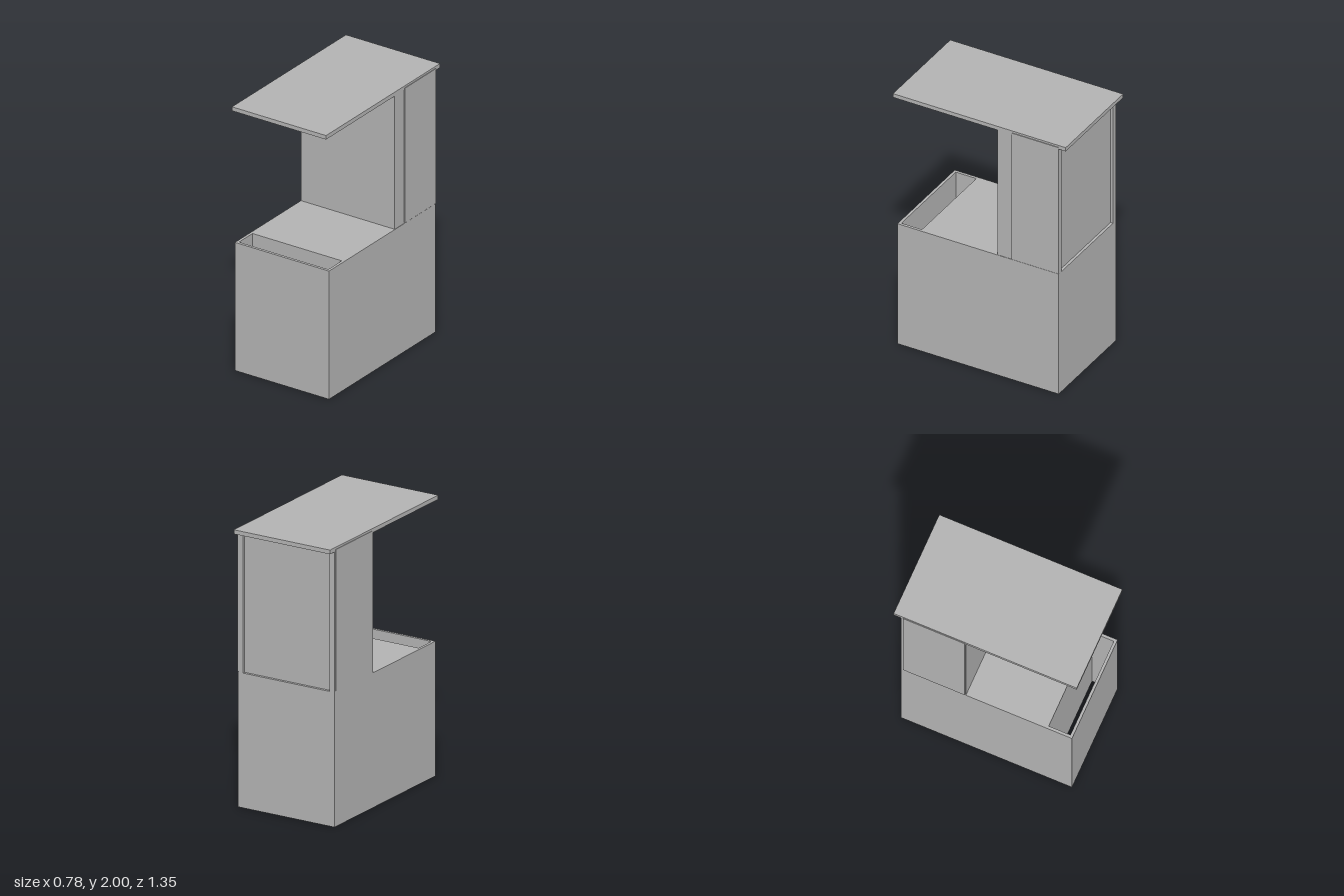
import * as THREE from 'three';

const grey = new THREE.MeshStandardMaterial({ color: 0xb2b2b2 });
grey.name = 'plain grey';

// Axis-aligned board given by its [min, max] extents
function board(name, [x0, x1], [y0, y1], [z0, z1]) {
  const mesh = new THREE.Mesh(new THREE.BoxGeometry(x1 - x0, y1 - y0, z1 - z0), grey);
  mesh.position.set((x0 + x1) / 2, (y0 + y1) / 2, (z0 + z1) / 2);
  mesh.name = name;
  return mesh;
}

export function createModel() {
  const model = new THREE.Group();
  model.name = 'serviceBooth';
  const L = -0.39, R = 0.385, wall = 0.02;
  const baseTop = 0.965, roofUnder = 1.97;
  const back = -0.62, front = 0.64, slotBack = 0.46, towerFront = -0.142;

  // Lower cabinet, with a slot behind the front panel open at top and bottom
  const base = new THREE.Group();
  base.name = 'base';
  const h = [0, baseTop];
  base.add(
    board('counterBlock', [L, R], h, [back, slotBack]),
    board('frontPanel', [L, R], h, [front - wall, front]),
    board('slotWallRight', [L, L + wall], h, [slotBack, front - wall]),
    board('slotWallLeft', [R - wall, R], h, [slotBack, front - wall]),
  );

  // Upper tower: core with a recessed back panel between corner posts
  const tower = new THREE.Group();
  tower.name = 'tower';
  const th = [baseTop, roofUnder];
  const recess = back + 0.02;
  tower.add(
    board('towerCore', [L, R - 0.003], th, [recess, towerFront]),
    board('cornerPostRight', [L, L + 0.04], th, [back, recess]),
    board('cornerPostLeft', [R - 0.04, R - 0.003], th, [back, recess]),
    // Thin outer side panels
    board('sidePanelRight', [L - 0.004, L], [0.97, 1.985], [-0.605, -0.15]),
    board('sidePanelLeft', [R - 0.003, 0.39], [0.97, 1.985], [back, -0.255]),
  );

  // Overhanging flat roof
  const roof = board('roof', [L, R], [roofUnder, 2], [-0.675, 0.675]);

  model.add(base, tower, roof);
  return model;
}
